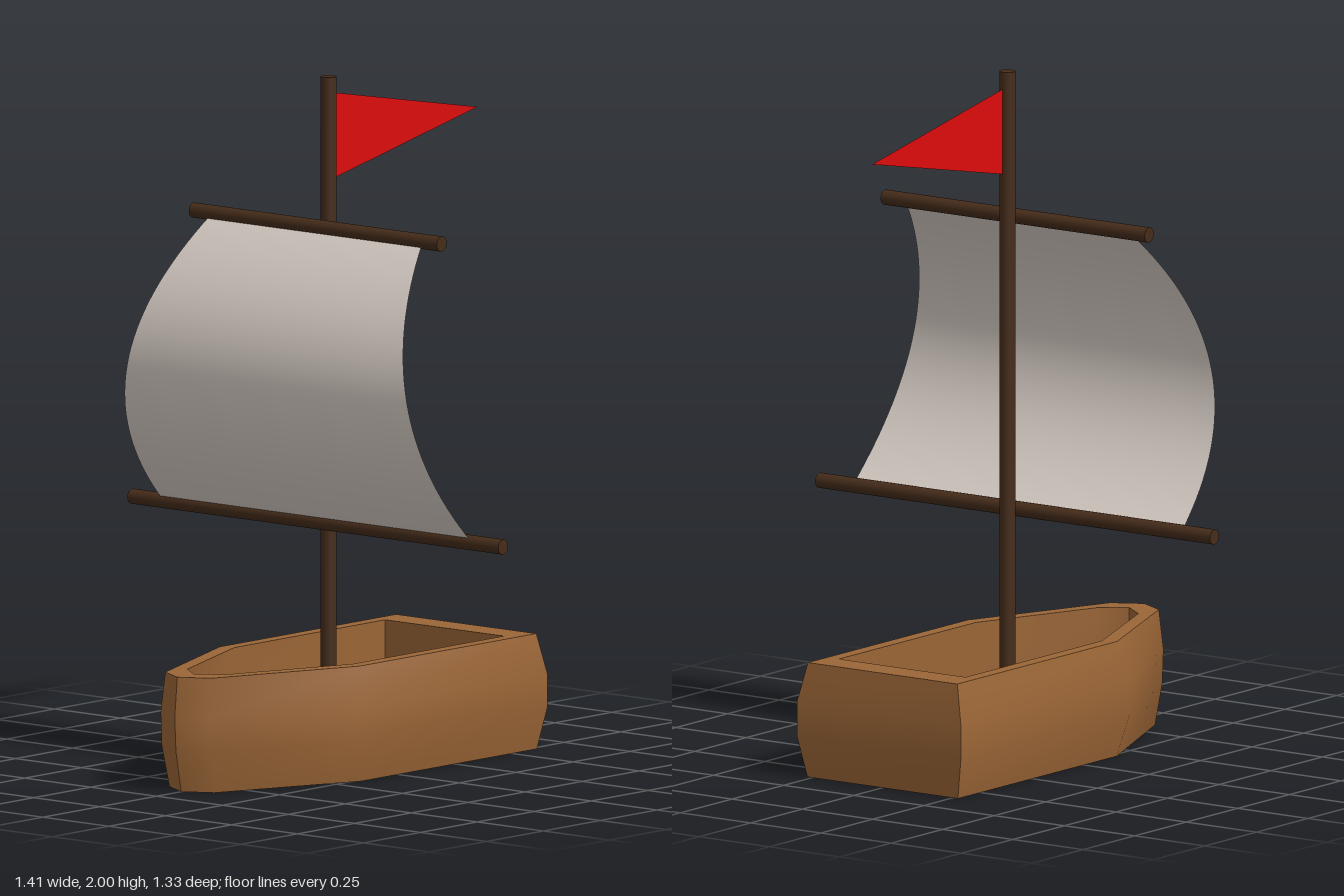
import * as THREE from 'three';
import { toCreasedNormals } from 'three/addons/utils/BufferGeometryUtils.js';

const hullWood = new THREE.MeshStandardMaterial({ color: 0x9a6536 });
const darkWood = new THREE.MeshStandardMaterial({ color: 0x452c1a });
const canvas = new THREE.MeshStandardMaterial({ color: 0xd8cec6, side: THREE.DoubleSide });
const red = new THREE.MeshStandardMaterial({ color: 0xdd0c0c, side: THREE.DoubleSide });

function addMesh(group, name, geometry, material, x = 0, y = 0, z = 0) {
  const mesh = new THREE.Mesh(geometry, material);
  mesh.name = name;
  mesh.position.set(x, y, z);
  group.add(mesh);
  return mesh;
}

// Boat outline at one height: square stern, straight sides, pointed bow
function outline(y, w, stern, shoulder, bowX, bowZ, tip) {
  return [
    [w, y, -stern], [w, y, shoulder], [bowX, y, bowZ], [0, y, tip],
    [-bowX, y, bowZ], [-w, y, shoulder], [-w, y, -stern],
  ];
}

// Loft from the keel up the outside, over the rim and down to the floor
function hullGeometry() {
  const inner = [0.225, 0.515, 0.148, 0.073, 0.53, 0.585];
  const centre = (y) => Array(7).fill([0, y, 0]);
  const rings = [
    centre(0),
    outline(0, 0.268, 0.61, 0.16, 0.085, 0.595, 0.642),
    outline(0.12, 0.292, 0.628, 0.19, 0.095, 0.617, 0.665),
    outline(0.22, 0.292, 0.628, 0.19, 0.095, 0.622, 0.67),
    outline(0.335, 0.266, 0.61, 0.165, 0.086, 0.612, 0.659),
    outline(0.335, ...inner),
    outline(0.16, ...inner),
    centre(0.16),
  ];
  const positions = [];
  for (let r = 0; r < rings.length - 1; r++) {
    for (let i = 0; i < 7; i++) {
      const j = (i + 1) % 7;
      const a = rings[r][i], b = rings[r][j];
      const c = rings[r + 1][i], d = rings[r + 1][j];
      if (r > 0) positions.push(...a, ...c, ...b);
      if (r < rings.length - 2) positions.push(...b, ...c, ...d);
    }
  }
  const geometry = new THREE.BufferGeometry();
  geometry.setAttribute('position', new THREE.Float32BufferAttribute(positions, 3));
  return toCreasedNormals(geometry, 0.77);
}

// Wind-filled sheet, widening towards the lower yard
function sailGeometry() {
  const geometry = new THREE.PlaneGeometry(2, 1, 8, 32);
  const p = geometry.attributes.position;
  for (let i = 0; i < p.count; i++) {
    const t = 0.5 - p.getY(i);
    const halfWidth = 0.4 + 0.335 * t - 0.15 * t * t;
    p.setXYZ(i, p.getX(i) * halfWidth, 1.565 - 0.85 * t, 0.045 + 0.88 * t * (1 - t));
  }
  geometry.computeVertexNormals();
  return geometry;
}

export function createModel() {
  const model = new THREE.Group();
  model.name = 'sailingBoat';

  addMesh(model, 'hull', hullGeometry(), hullWood);

  // Mast stands on the hull floor
  addMesh(model, 'mast', new THREE.CylinderGeometry(0.023, 0.023, 1.85, 20), darkWood, 0, 1.075, -0.005);

  // Yards
  for (const [name, y, length] of [['upperYard', 1.568, 0.94], ['lowerYard', 0.712, 1.406]]) {
    const yard = addMesh(model, name, new THREE.CylinderGeometry(0.022, 0.022, length, 20), darkWood, 0, y, 0.042);
    yard.rotation.z = Math.PI / 2;
  }

  addMesh(model, 'sail', sailGeometry(), canvas);

  // Pennant flying aft from the mast
  const pennant = new THREE.Shape([
    new THREE.Vector2(0.02, 1.7), new THREE.Vector2(0.66, 1.832), new THREE.Vector2(0.02, 1.952),
  ]);
  addMesh(model, 'pennant', new THREE.ShapeGeometry(pennant), red).rotation.y = Math.PI / 2;

  return model;
}
